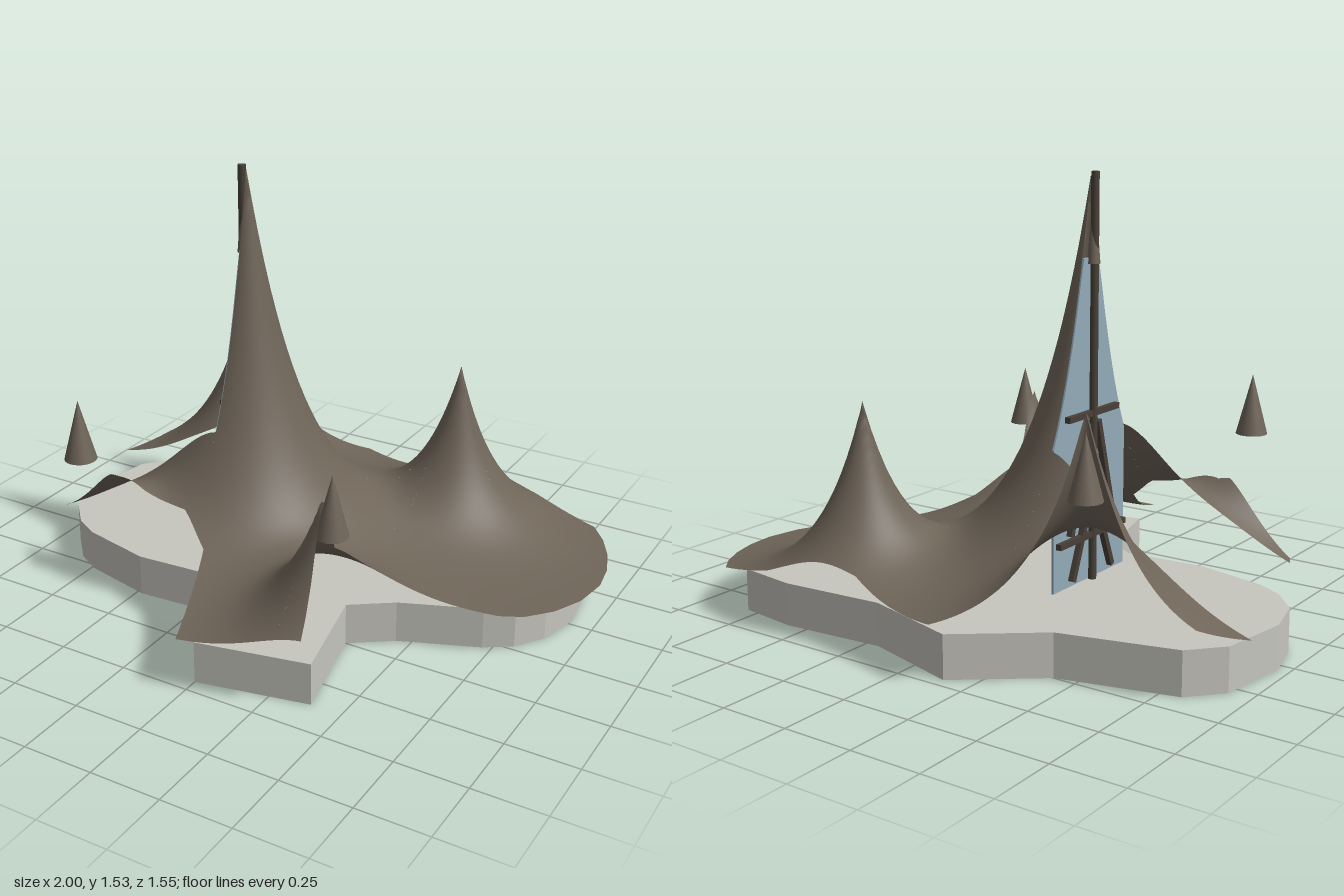
import * as THREE from 'three';
import { mergeGeometries } from 'three/addons/utils/BufferGeometryUtils.js';

const FLOOR = 0.15, CUT = -0.22;

// mast points: x, z, rise, falloff length
const PEAKS = [
  [-0.222, 0, 1.39, 0.21],
  [-0.555, -0.53, 0.73, 0.165], [-0.555, 0.53, 0.73, 0.165],
  [0.375, -0.465, 0.63, 0.155], [0.375, 0.465, 0.63, 0.155],
];

// height of the stretched fabric: blended exponential peaks
function roofY(x, z) {
  let sum = 0;
  for (const [px, pz, a, len] of PEAKS) {
    sum += Math.pow(a * Math.exp(-Math.hypot(x - px, z - pz) / len), 1.5);
  }
  return 0.14 + Math.pow(sum, 2 / 3);
}

// piecewise linear curve z(x)
function along(points, x) {
  for (let i = 1; i < points.length; i++) {
    const [x0, z0] = points[i - 1], [x1, z1] = points[i];
    if (x <= x1 + 1e-9) return z0 + (z1 - z0) * (x - x0) / (x1 - x0);
  }
  return points[points.length - 1][1];
}

// fabric patch between two plan curves over x0..x1
function patch(x0, x1, back, front, rows) {
  const xs = new Set([x0, x1]);
  for (const [x] of [...back, ...front]) if (x > x0 && x < x1) xs.add(x);
  const n = Math.ceil((x1 - x0) / 0.015);
  for (let i = 1; i < n; i++) xs.add(x0 + (x1 - x0) * i / n);
  const cols = [...xs].sort((a, b) => a - b);
  const pos = [], nor = [], idx = [], e = 0.004;
  cols.forEach((x, i) => {
    const zb = along(back, x), zf = along(front, x);
    for (let j = 0; j <= rows; j++) {
      const z = zb + (zf - zb) * j / rows;
      pos.push(x, roofY(x, z), z);
      const nv = new THREE.Vector3(
        (roofY(x - e, z) - roofY(x + e, z)) / (2 * e), 1,
        (roofY(x, z - e) - roofY(x, z + e)) / (2 * e)).normalize();
      nor.push(nv.x, nv.y, nv.z);
      if (i && j) {
        const d = i * (rows + 1) + j, c = d - 1, b = d - rows - 1, a = b - 1;
        idx.push(a, b, c, b, d, c);
      }
    }
  });
  const g = new THREE.BufferGeometry();
  g.setAttribute('position', new THREE.Float32BufferAttribute(pos, 3));
  g.setAttribute('normal', new THREE.Float32BufferAttribute(nor, 3));
  g.setIndex(idx);
  return g;
}

export function createModel() {
  const model = new THREE.Group();
  const mat = (name, color, side = THREE.FrontSide) => {
    const m = new THREE.MeshStandardMaterial({ color, side });
    m.name = name;
    return m;
  };
  const fabric = mat('brown fabric', 0x6e6458, THREE.DoubleSide);
  const stone = mat('pale concrete', 0xc6c5be);
  const glass = mat('blue glass', 0x94abb9);
  const timber = mat('dark timber', 0x484038);
  const add = (name, geo, material, parent = model) => {
    const mesh = new THREE.Mesh(geo, material);
    mesh.name = name;
    parent.add(mesh);
    return mesh;
  };

  // floor slab
  const plan = [
    [-0.92, -0.29], [-0.96, -0.04], [-0.92, 0.12], [-0.83, 0.22], [-0.74, 0.27],
    [-0.48, 0.33], [-0.19, 0.31], [-0.08, 0.38], [0, 0.7], [0.39, 0.62],
    [0.31, 0.25], [0.45, 0.15], [0.72, 0.04], [0.81, -0.02], [0.88, -0.12],
    [0.92, -0.27], [0.9, -0.42], [0.86, -0.53], [0.8, -0.61], [0.58, -0.64],
    [0.2, -0.61], [-0.15, -0.71], [-0.42, -0.5], [-0.82, -0.4],
  ];
  const slab = new THREE.ExtrudeGeometry(
    new THREE.Shape(plan.map(([x, z]) => new THREE.Vector2(x, -z))),
    { depth: FLOOR, bevelEnabled: false });
  add('floorSlab', slab.rotateX(-Math.PI / 2), stone);

  // fabric roof: body with rounded end, front arm, two side wings
  const back = [[CUT, -0.73], [-0.15, -0.78], [0.22, -0.69], [0.59, -0.72], [0.84, -0.67],
    [0.9, -0.6], [0.95, -0.51], [0.985, -0.41], [1, -0.3]];
  const ridge = [[CUT, 0], [0.375, -0.465], [1, -0.3]];
  const armFront = [[CUT, 0.385], [-0.13, 0.44], [-0.02, 0.77], [0.4, 0.7]];
  const armSide = [[0.31, 0.33], [0.4, 0.7]];
  const bodyFront = [[0.31, 0.33], [0.43, 0.22], [0.79, 0.08], [0.86, 0.03],
    [0.93, -0.06], [0.98, -0.17], [1, -0.3]];
  const backWing = [[-1, -0.3], [-0.89, -0.445], [-0.555, -0.535], [-0.44, -0.57], [CUT, -0.73]];
  const frontWing = [[-0.84, 0.28], [-0.83, 0.3], [-0.56, 0.37], [-0.52, 0.36],
    [-0.41, 0.378], [-0.25, 0.37], [CUT, 0.385]];
  add('fabricRoof', mergeGeometries([
    patch(CUT, 1, back, ridge, 40),
    patch(CUT, 0.31, ridge, armFront, 50),
    patch(0.31, 1, ridge, bodyFront, 40),
    patch(0.31, 0.4, armSide, armFront, 20),
    patch(-1, CUT, backWing, [[-1, -0.3], [CUT, -0.22]], 30),
    patch(-0.84, CUT, [[-0.84, 0.28], [CUT, 0.215]], frontWing, 16),
  ]), fabric);

  // cone caps on the four outer masts and the main mast
  PEAKS.forEach(([x, z], i) => {
    const r = i ? 0.055 : 0.022, h = i ? 0.21 : 0.28;
    const base = i === 0 ? 1.23 : i < 3 ? 0.6 : 0.53;
    const cap = add('mastCap', new THREE.ConeGeometry(r, h, 24), fabric);
    cap.position.set(i ? x : -0.233, base + h / 2, z);
  });

  // main mast
  const mast = add('mainMast', new THREE.CylinderGeometry(0.014, 0.014, 1.53 - FLOOR, 16), timber);
  mast.position.set(-0.237, (1.53 + FLOOR) / 2, 0);

  // glazed end wall following the roof edge
  const wall = new THREE.Shape();
  wall.moveTo(-0.215, FLOOR);
  wall.lineTo(0.215, FLOOR);
  for (let i = 0; i <= 20; i++) {
    const z = 0.215 - 0.43 * i / 20;
    wall.lineTo(z, Math.min(1.25, roofY(CUT, z) - 0.01));
  }
  const pane = new THREE.ExtrudeGeometry(wall, { depth: 0.008, bevelEnabled: false });
  add('glassWall', pane.rotateY(-Math.PI / 2), glass).position.x = -0.216;

  // wall framing: cross bars and raking struts
  const frame = new THREE.Group();
  frame.name = 'wallFrame';
  model.add(frame);
  const bar = (z0, y0, z1, y1) => {
    const len = Math.hypot(z1 - z0, y1 - y0);
    const b = add('frameBar', new THREE.BoxGeometry(0.02, 0.02, len), timber, frame);
    b.position.set(-0.234, (y0 + y1) / 2, (z0 + z1) / 2);
    b.rotation.x = -Math.atan2(y1 - y0, z1 - z0);
  };
  bar(-0.15, 0.73, 0.15, 0.73);
  bar(-0.2, 0.31, 0.2, 0.31);
  for (const s of [-1, 1]) {
    bar(0.03 * s, 0.7, 0.13 * s, 0.33);
    bar(0.01 * s, 0.45, 0.12 * s, 0.17);
  }
  return model;
}
